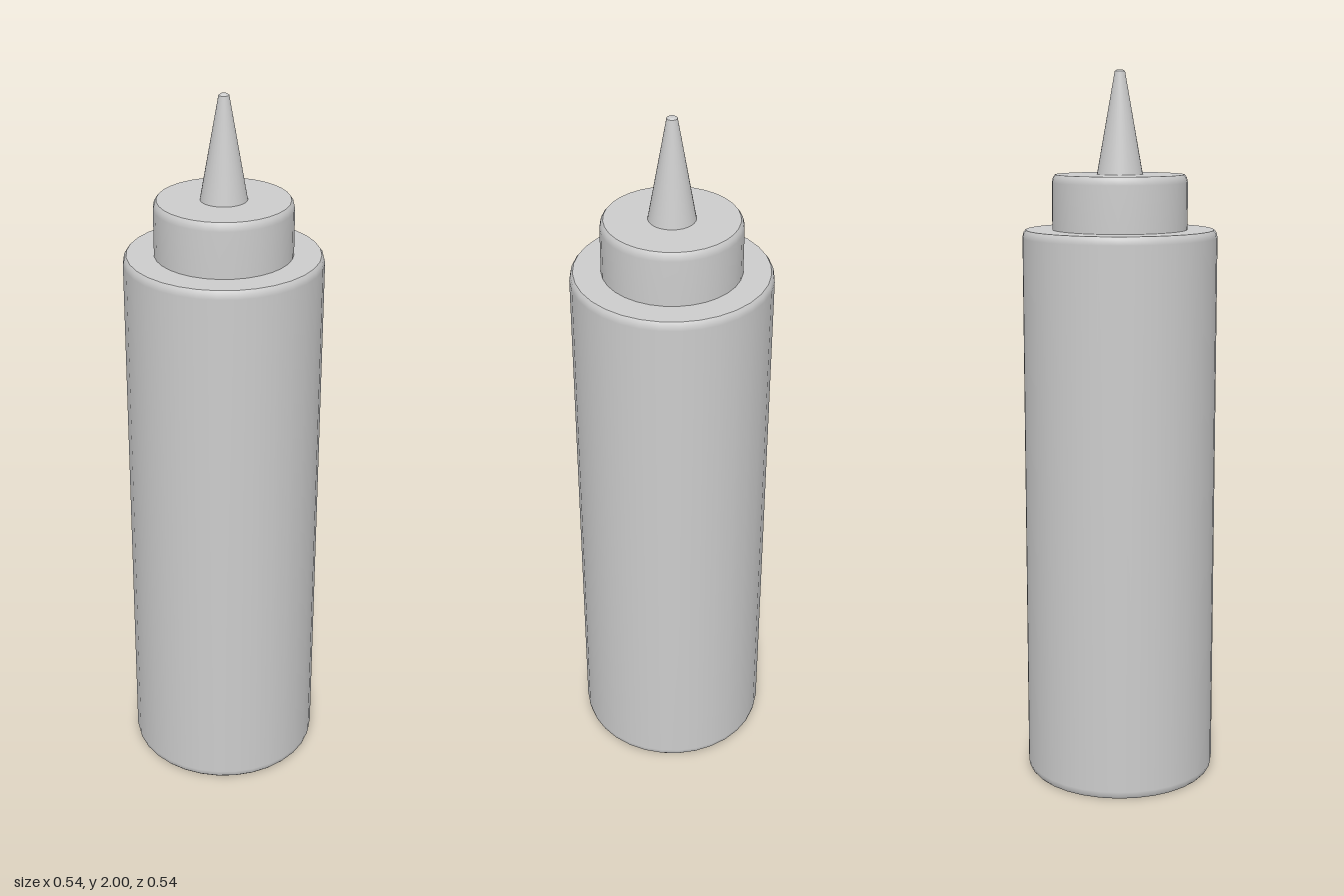
import * as THREE from 'three';

const SIDES = 32;

// Turned part: profile runs bottom to top as [radius, y]; a third value of 1 marks a sharp edge.
function turned(name, profile, material) {
  const points = [];
  for (const [r, y, sharp] of profile) {
    points.push(new THREE.Vector2(r, y));
    if (sharp) points.push(new THREE.Vector2(r, y));
  }
  const geometry = new THREE.LatheGeometry(points, SIDES);
  geometry.normalizeNormals();
  const mesh = new THREE.Mesh(geometry, material);
  mesh.name = name;
  return mesh;
}

export function createModel() {
  const group = new THREE.Group();
  group.name = 'squeezeBottle';
  const material = new THREE.MeshStandardMaterial({ color: 0xcccccc });

  // Tall body with softened rims
  group.add(turned('body', [
    [0, 0], [0.261, 0, 1], [0.267, 0.007], [0.27, 0.022],
    [0.27, 1.548], [0.267, 1.562], [0.261, 1.57, 1], [0, 1.57],
  ], material));

  // Screw cap
  group.add(turned('cap', [
    [0, 1.56], [0.187, 1.56, 1],
    [0.187, 1.698], [0.184, 1.712], [0.178, 1.72, 1], [0, 1.72],
  ], material));

  // Tapered nozzle with a small blunt tip
  group.add(turned('nozzle', [
    [0, 1.715], [0.064, 1.715, 1],
    [0.014, 1.996, 1], [0.008, 2, 1], [0, 2],
  ], material));

  return group;
}
